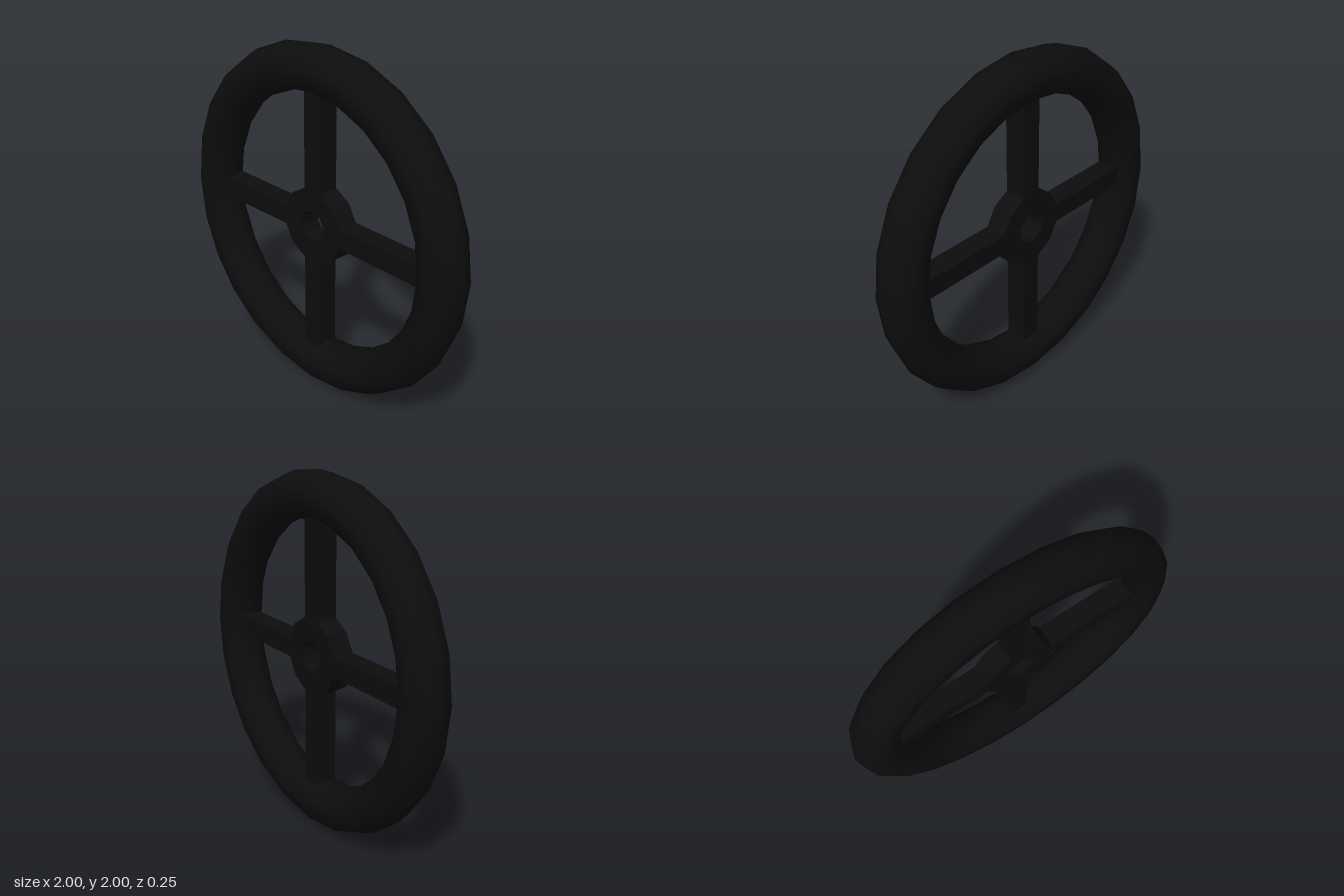
import * as THREE from 'three';

const black = new THREE.MeshStandardMaterial({ color: 0x0d0d0d });
const DEPTH = 0.125;   // thickness of hub and spokes
const HUB = 0.217;     // hub corner radius

// Twelve-sided ring of points with a flat side facing each spoke
function dodecagon(radius) {
  return Array.from({ length: 12 }, (_, i) => {
    const a = (i + 0.5) * Math.PI / 6;
    return new THREE.Vector2(radius * Math.cos(a), radius * Math.sin(a));
  });
}

export function createModel() {
  const model = new THREE.Group();
  model.name = 'spokedWheel';

  const wheel = new THREE.Group();
  wheel.name = 'wheel';
  wheel.position.y = 1;
  model.add(wheel);

  // Rim
  const rim = new THREE.Mesh(new THREE.TorusGeometry(0.87, 0.13, 10, 24), black);
  rim.name = 'rim';
  wheel.add(rim);

  // Hub with axle hole
  const hubShape = new THREE.Shape(dodecagon(HUB));
  hubShape.holes.push(new THREE.Path(dodecagon(0.09)));
  const hubGeometry = new THREE.ExtrudeGeometry(hubShape, { depth: DEPTH, bevelEnabled: false });
  hubGeometry.translate(0, 0, -DEPTH / 2);
  const hub = new THREE.Mesh(hubGeometry, black);
  hub.name = 'hub';
  wheel.add(hub);

  // Four spokes, each starting on a flat side of the hub
  const start = HUB * Math.cos(Math.PI / 12);
  const end = 0.765;
  const width = 2 * HUB * Math.sin(Math.PI / 12);
  const spokeGeometry = new THREE.BoxGeometry(end - start, width, DEPTH);
  spokeGeometry.translate((start + end) / 2, 0, 0);
  for (let i = 0; i < 4; i++) {
    const spoke = new THREE.Mesh(spokeGeometry, black);
    spoke.name = 'spoke' + (i + 1);
    spoke.rotation.z = i * Math.PI / 2;
    wheel.add(spoke);
  }

  return model;
}
